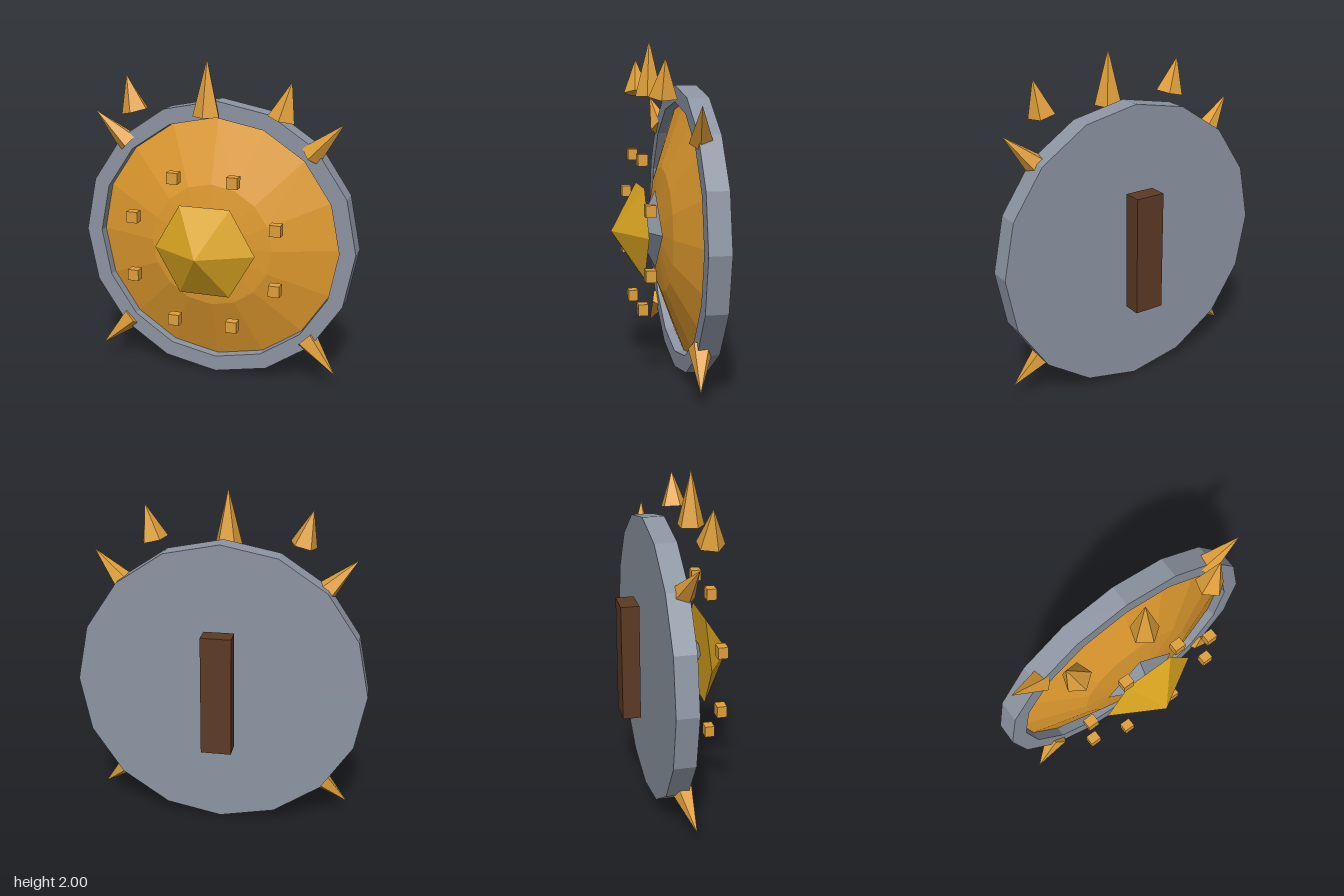
import * as THREE from 'three';

const CY = 0.87; // height of the shield's centre

const mat = (color, side = THREE.FrontSide) =>
  new THREE.MeshStandardMaterial({ color, flatShading: true, side });

export function createModel() {
  const group = new THREE.Group();
  const steel = mat(0x8c95a2);
  const bronze = mat(0xe0a03a);
  const gold = mat(0xdaa520);
  const wood = mat(0x5c3a24);

  const add = (name, geometry, material, x = 0, y = CY, z = 0) => {
    const mesh = new THREE.Mesh(geometry, material);
    mesh.name = name;
    mesh.position.set(x, y, z);
    group.add(mesh);
    return mesh;
  };

  // Turned parts: pairs of radius and z, spun around the z axis
  const turned = (points) =>
    new THREE.LatheGeometry(points.map(([r, z]) => new THREE.Vector2(r, z)), 16).rotateX(Math.PI / 2);

  // Backing disc with a raised rim and a recess for the dome
  add('rimDisc', turned([[0, -0.185], [0.865, -0.185], [0.865, -0.055],
    [0.766, -0.055], [0.766, -0.13], [0, -0.13]]), steel);

  // Shallow faceted dome
  add('dome', turned([[0.764, -0.113], [0.38, 0.03], [0, 0.078]]), mat(0xdf9a2e, THREE.DoubleSide));

  // Small steel cone carrying the pointed boss
  add('bossNeck', new THREE.ConeGeometry(0.24, 0.115, 4).rotateX(Math.PI / 2), steel, 0, CY, 0.1225);
  add('boss', new THREE.ConeGeometry(0.312, 0.178, 6, 1, false, Math.PI / 6).rotateX(Math.PI / 2),
    gold, 0, CY, 0.246);

  // Ring of square studs
  for (let i = 0; i < 8; i++) {
    const a = (i + 0.5) * Math.PI / 4;
    add('stud', new THREE.BoxGeometry(0.068, 0.068, 0.058), bronze,
      0.478 * Math.cos(a), CY + 0.478 * Math.sin(a), 0.176);
  }

  // Five-sided spike from the middle of its base to its tip
  const spike = (name, base, tip, radius) => {
    const a = new THREE.Vector3(...base);
    const b = new THREE.Vector3(...tip);
    const dir = b.clone().sub(a);
    const mid = a.clone().add(b).multiplyScalar(0.5);
    const mesh = add(name, new THREE.ConeGeometry(radius, dir.length(), 5), bronze, mid.x, mid.y, mid.z);
    mesh.quaternion.setFromUnitVectors(new THREE.Vector3(0, 1, 0), dir.normalize());
  };

  // Crown of three spikes, and four around the rim
  spike('crownSpike', [0, 1.67, 0.1], [0, 2, 0.1], 0.084);
  for (const s of [-1, 1]) {
    spike('crownSpike', [s * 0.444, 1.678, 0.1], [s * 0.498, 1.89, 0.1], 0.084);
    for (const v of [-1, 1]) {
      spike('rimSpike', [s * 0.575, CY + v * 0.575, -0.085], [s * 0.772, CY + v * 0.774, -0.04], 0.073);
    }
  }

  // Grip behind the disc
  add('handle', new THREE.BoxGeometry(0.18, 0.72, 0.11), wood, 0, CY, -0.28);

  return group;
}
